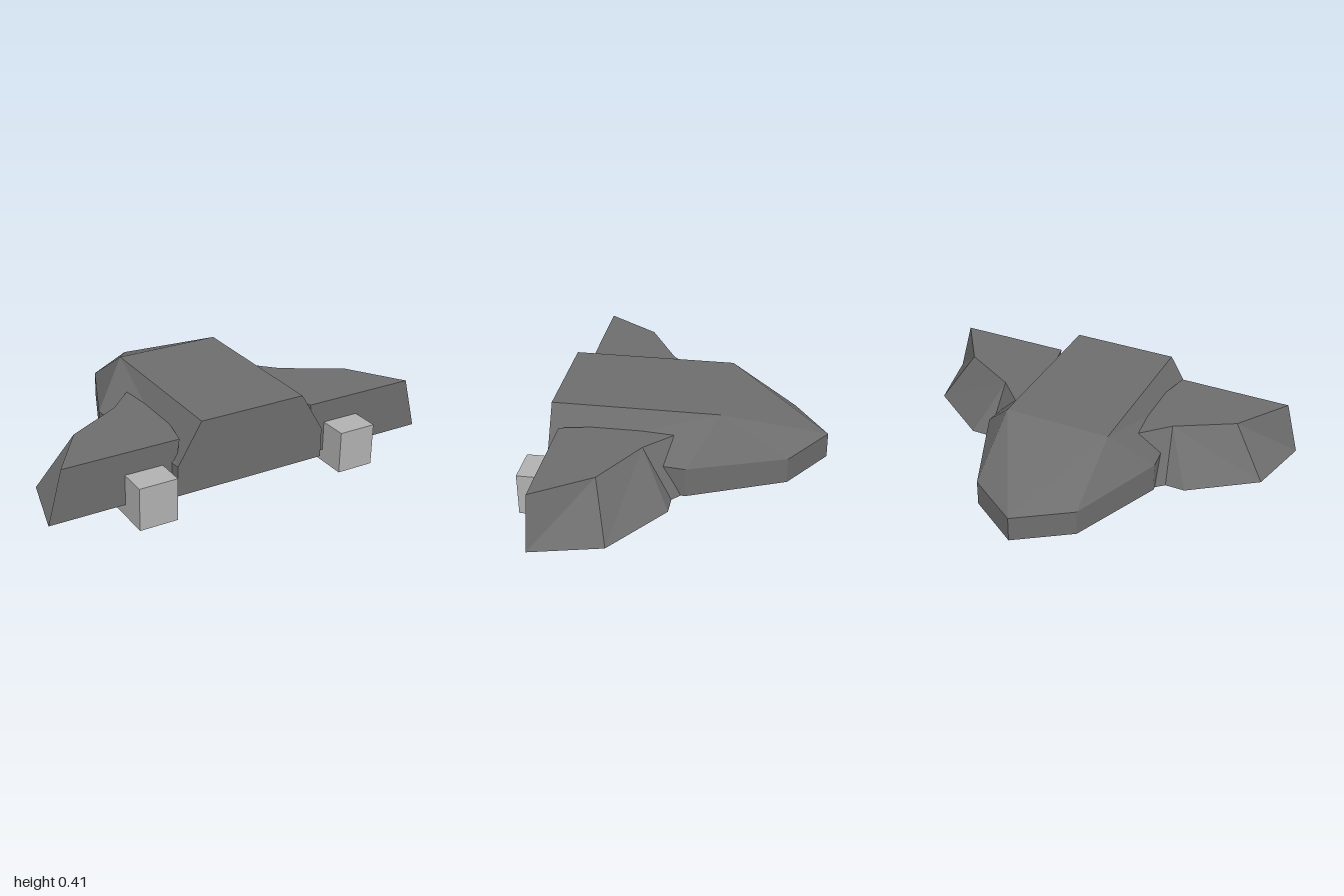
import * as THREE from 'three';

const BASE = 0.06;

// Flat-shaded solid from polygons; each is fanned from its first corner
// and every triangle is turned to face away from the centre point.
function facetedGeometry(polygons, centre) {
  const positions = [];
  const c = new THREE.Vector3(...centre);
  const normal = new THREE.Vector3();
  for (const polygon of polygons) {
    const p = polygon.map((q) => new THREE.Vector3(...q));
    for (let i = 1; i < p.length - 1; i++) {
      const tri = [p[0], p[i], p[i + 1]];
      normal.subVectors(tri[1], tri[0]).cross(tri[2].clone().sub(tri[0]));
      if (normal.length() < 1e-7) continue;
      if (normal.dot(tri[0].clone().sub(c)) < 0) tri.reverse();
      tri.forEach((v) => positions.push(v.x, v.y, v.z));
    }
  }
  const geometry = new THREE.BufferGeometry();
  geometry.setAttribute('position', new THREE.Float32BufferAttribute(positions, 3));
  geometry.computeVertexNormals();
  return geometry;
}

// Side walls between two closed loops with matching corners
function walls(lower, upper) {
  return lower.map((p, i) => {
    const j = (i + 1) % lower.length;
    return [p, lower[j], upper[j], upper[i]];
  });
}

const mirror = ([x, y, z]) => [-x, y, z];

function hullGeometry() {
  const nose = [0, 0.19, -0.71];
  const cheek = [0.265, 0.19, -0.53];
  const shoulder = [0.46, 0.21, -0.06];
  const tail = [0.39, 0.21, 0.62];
  const roofFront = [0.27, 0.41, -0.2];
  const roofBack = [0.27, 0.41, 0.62];

  // Vertical lower band
  const rim = [nose, cheek, shoulder, tail, mirror(tail), mirror(shoulder), mirror(cheek)];
  const floor = rim.map(([x, , z]) => [x, BASE, z]);

  // Sloping upper sides
  const slopes = [
    [nose, cheek, roofFront],
    [cheek, shoulder, roofFront],
    [roofFront, shoulder, tail, roofBack],
  ];
  return facetedGeometry([
    floor,
    ...walls(floor, rim),
    ...slopes,
    ...slopes.map((face) => face.map(mirror)),
    [nose, roofFront, mirror(roofFront)],
    [roofFront, roofBack, mirror(roofBack), mirror(roofFront)],
    [tail, roofBack, mirror(roofBack), mirror(tail)],
  ], [0, 0.2, 0]);
}

function wingGeometry(side) {
  // Both outlines start at the inner front bend so the caps fan cleanly
  const bottom = [
    [0.5, 0], [0.3, -0.18], [0.3, 0.3], [0.395, 0.57], [1, 0.57], [0.92, 0.23], [0.6, 0],
  ].map(([x, z]) => [side * x, BASE, z]);
  const top = [
    [0.47, 0.14], [0.3, -0.03], [0.3, 0.3], [0.355, 0.57], [0.93, 0.57], [0.75, 0.3], [0.47, 0.14],
  ].map(([x, z]) => [side * x, 0.32, z]);
  return facetedGeometry([bottom, top, ...walls(bottom, top)], [side * 0.55, 0.19, 0.3]);
}

export function createModel() {
  const model = new THREE.Group();
  model.name = 'spacecraft';

  const darkGrey = new THREE.MeshStandardMaterial({ color: 0x6e6e6e });
  darkGrey.name = 'dark grey';
  const lightGrey = new THREE.MeshStandardMaterial({ color: 0xb2b2b2 });
  lightGrey.name = 'light grey';

  const add = (name, geometry, material) => {
    const mesh = new THREE.Mesh(geometry, material);
    mesh.name = name;
    model.add(mesh);
    return mesh;
  };

  add('hull', hullGeometry(), darkGrey);

  // Wings and the engine blocks beneath them
  for (const [label, side] of [['left', 1], ['right', -1]]) {
    add(`${label}Wing`, wingGeometry(side), darkGrey);
    add(`${label}Engine`, new THREE.BoxGeometry(0.19, 0.21, 0.44), lightGrey)
      .position.set(side * 0.535, 0.105, 0.49);
  }
  return model;
}
